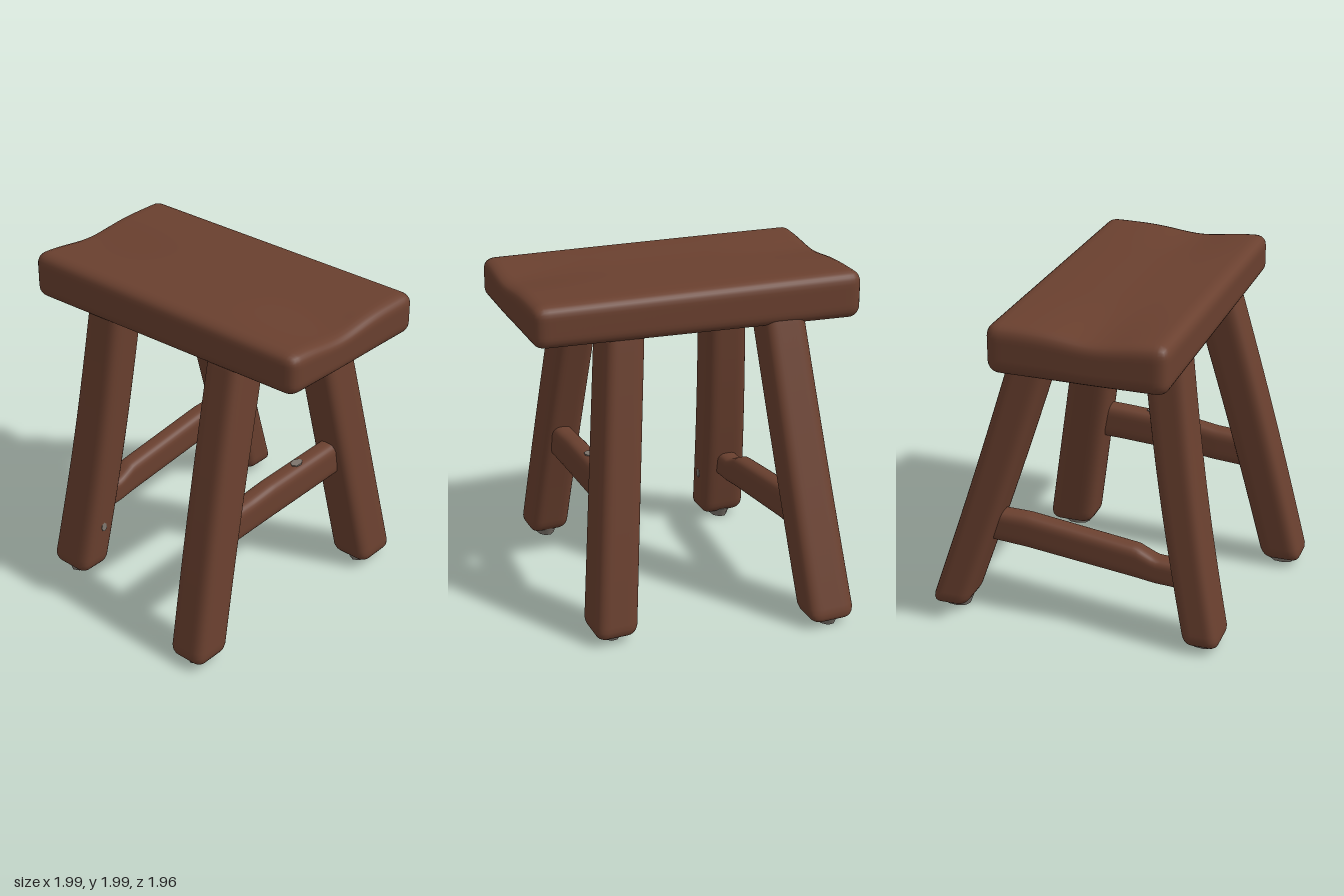
import * as THREE from 'three';
import { mergeVertices } from 'three/addons/utils/BufferGeometryUtils.js';

const wood = new THREE.MeshStandardMaterial({ color: 0x6a402f });
wood.name = 'brown wood';
const grey = new THREE.MeshStandardMaterial({ color: 0x7d756d });
grey.name = 'worn grey';

const { lerp, clamp, smoothstep } = THREE.MathUtils;

// Box with rounded edges, finely divided, whose points are then moved by a rule.
function softBox([w, h, d], r, [sx, sy, sz], rule) {
  let geo = new THREE.BoxGeometry(w, h, d, sx, sy, sz);
  geo.deleteAttribute('uv');
  geo.deleteAttribute('normal');
  geo = mergeVertices(geo);
  const pos = geo.attributes.position;
  const p = new THREE.Vector3(), core = new THREE.Vector3();
  for (let i = 0; i < pos.count; i++) {
    p.fromBufferAttribute(pos, i);
    core.set(
      clamp(p.x, r - w / 2, w / 2 - r),
      clamp(p.y, r - h / 2, h / 2 - r),
      clamp(p.z, r - d / 2, d / 2 - r));
    p.sub(core).setLength(r).add(core);
    rule(p);
    pos.setXYZ(i, p.x, p.y, p.z);
  }
  geo.computeVertexNormals();
  return geo;
}

function add(group, name, geo, material) {
  const mesh = new THREE.Mesh(geo, material);
  mesh.name = name;
  group.add(mesh);
  return mesh;
}

// Linear lookup in rows whose first entry rises.
function sample(rows, t) {
  let i = 0;
  while (i < rows.length - 2 && t > rows[i + 1][0]) i++;
  const a = rows[i], b = rows[i + 1];
  const k = clamp((t - a[0]) / (b[0] - a[0]), 0, 1);
  return a.map((v, j) => lerp(v, b[j], k));
}

// Slab seat: slightly wedge shaped and skewed, dished towards both ends.
function addSeat(group) {
  const geo = softBox([1.97, 0.28, 1.035], 0.07, [64, 12, 36], p => {
    const { x, y, z } = p;
    const up = y / 0.28 + 0.5;
    const dish = Math.exp(-(((z - 0.1) / 0.22) ** 2)) * (0.3 + 0.7 * smoothstep(Math.abs(x), 0.3, 0.95));
    const bottom = 1.715 + 0.035 * x;
    const top = 1.98 + 0.013 * x - 0.035 * dish;
    p.set(x - 0.02 * z - 0.003, lerp(bottom, top, up), z + 0.06 + 0.016 * x);
  });
  add(group, 'seat', geo, wood);
}

// Splayed leg; foot and head are [x, z, width, depth], bow bends it along z.
function addLeg(group, name, foot, head, bow) {
  const y0 = 0.035, y1 = 1.82;
  const geo = softBox([0.26, y1 - y0, 0.26], 0.065, [12, 60, 12], p => {
    const y = p.y + (y0 + y1) / 2;
    const t = (y - y0) / (1.74 - y0);
    const [x, z, w, d] = foot.map((v, i) => lerp(v, head[i], t));
    p.set(x + p.x / 0.26 * w, y, z + p.z / 0.26 * d + bow * Math.sin(Math.PI * clamp(t, 0, 1)));
  });
  add(group, name, geo, wood);
  // Worn foot pad
  const pad = add(group, name + 'Pad', new THREE.CylinderGeometry(0.085, 0.065, 0.06, 9), grey);
  pad.scale.set(0.85, 1, 1.2);
  pad.position.set(foot[0], 0.03, foot[1] - Math.sign(foot[1]) * 0.015);
}

// Stretcher along z; rows are [z, x, y, height].
function addStretcher(group, name, rows) {
  const z0 = rows[0][0], z1 = rows[rows.length - 1][0];
  const geo = softBox([0.13, 0.2, z1 - z0], 0.05, [8, 10, 48], p => {
    const z = p.z + (z0 + z1) / 2;
    const [, x, y, h] = sample(rows, z);
    p.set(x + p.x, y + p.y / 0.2 * h, z);
  });
  add(group, name, geo, wood);
}

export function createModel() {
  const group = new THREE.Group();
  group.name = 'stool';

  addSeat(group);

  addLeg(group, 'frontLeftLeg', [0.55, 0.875, 0.25, 0.25], [0.445, 0.43, 0.24, 0.27], 0.01);
  addLeg(group, 'backLeftLeg', [0.635, -0.56, 0.26, 0.29], [0.45, -0.275, 0.24, 0.27], 0);
  addLeg(group, 'frontRightLeg', [-0.595, 0.69, 0.29, 0.22], [-0.485, 0.41, 0.25, 0.24], -0.02);
  addLeg(group, 'backRightLeg', [-0.595, -0.88, 0.29, 0.23], [-0.5, -0.33, 0.26, 0.25], 0.01);

  addStretcher(group, 'leftStretcher', [
    [-0.46, 0.55, 0.81, 0.22], [-0.2, 0.545, 0.8, 0.22], [0.25, 0.53, 0.775, 0.22],
    [0.42, 0.52, 0.755, 0.21], [0.72, 0.51, 0.735, 0.21]]);
  addStretcher(group, 'rightStretcher', [
    [-0.74, -0.565, 0.57, 0.19], [-0.4, -0.57, 0.555, 0.21], [0.27, -0.575, 0.47, 0.2],
    [0.38, -0.575, 0.435, 0.16], [0.65, -0.575, 0.42, 0.16]]);

  // Small bare spots where the finish has worn off
  const spot = new THREE.CylinderGeometry(0.03, 0.03, 0.008, 7);
  const stretcherSpot = add(group, 'stretcherWornSpot', spot, grey);
  stretcherSpot.position.set(0.54, 0.9, 0);
  stretcherSpot.scale.z = 1.4;
  stretcherSpot.rotation.x = 0.05;
  const legSpot = add(group, 'legWornSpot', spot, grey);
  legSpot.position.set(-0.434, 0.33, 0.63);
  legSpot.scale.z = 0.7;
  legSpot.rotation.z = -Math.PI / 2 + 0.06;

  return group;
}
